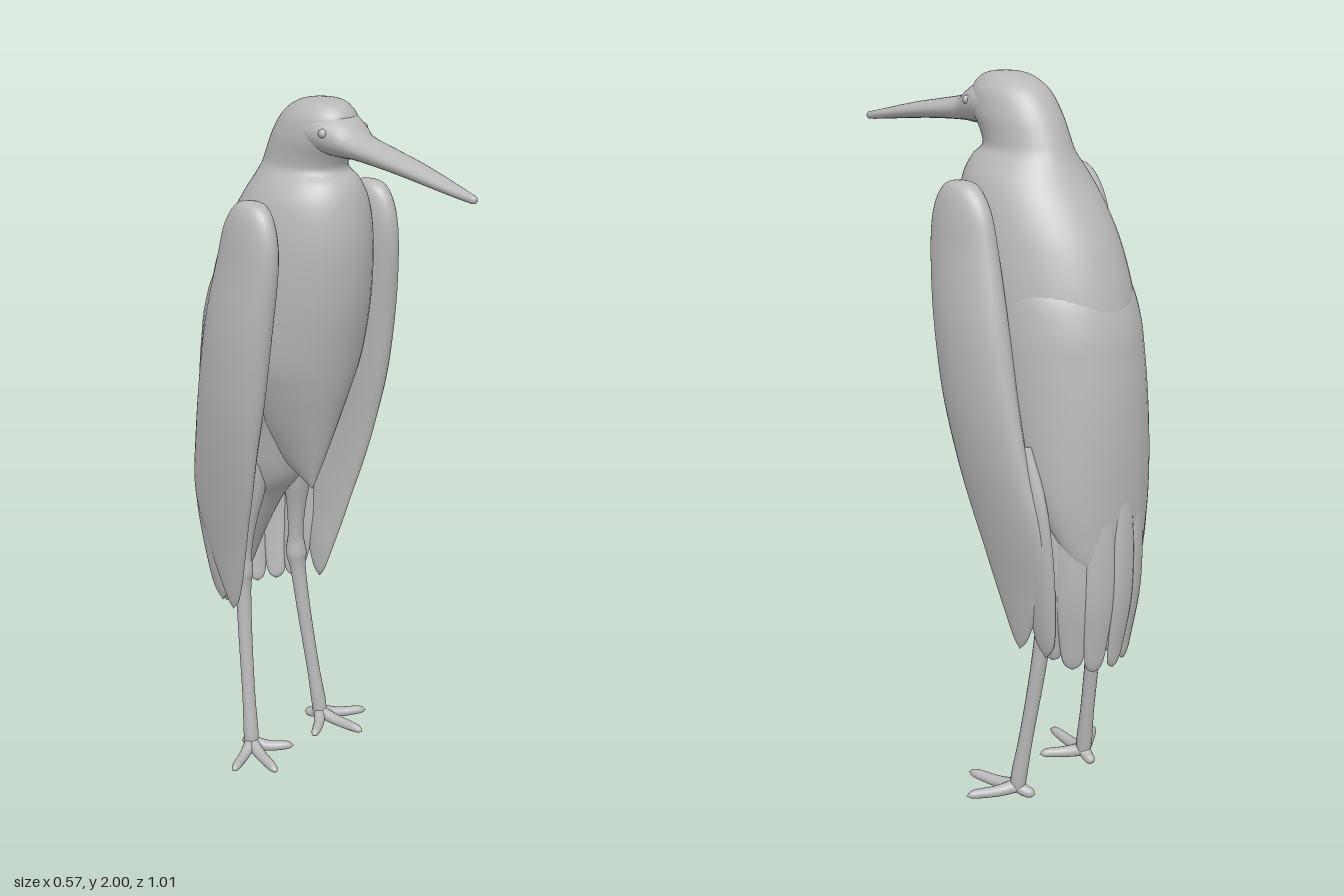
import * as THREE from 'three';

const grey = new THREE.MeshStandardMaterial({ color: 0xb8b8b8 });
grey.name = 'plain grey';

// Skin a grid of rings (seg points each) into a smooth closed surface
function skin(pos, rows, seg) {
  const index = [];
  for (let i = 0; i < rows - 1; i++) {
    for (let j = 0; j < seg; j++) {
      const k = (j + 1) % seg, p = i * seg, q = p + seg;
      index.push(p + j, p + k, q + j, p + k, q + k, q + j);
    }
  }
  const g = new THREE.BufferGeometry();
  g.setAttribute('position', new THREE.Float32BufferAttribute(pos, 3));
  g.setIndex(index);
  g.computeVertexNormals();
  return g;
}

const spline = pts => new THREE.CatmullRomCurve3(pts, false, 'catmullrom');

// Smooth loft through elliptical rings [t, a0, a1, b0, b1].
// Upright: t = y (falling), a = z range, b = x range. Along z: t = z (rising), a = y range.
function loft(rings, { alongZ = false, seg = 32, sub = 5 } = {}) {
  const mid = spline(rings.map(([t, a0, a1, b0, b1]) => new THREE.Vector3(t, (a0 + a1) / 2, (b0 + b1) / 2)));
  const rad = spline(rings.map(([, a0, a1, b0, b1]) => new THREE.Vector3(Math.abs(a1 - a0) / 2, Math.abs(b1 - b0) / 2, 0)));
  const pos = [], n = (rings.length - 1) * sub;
  for (let i = 0; i <= n; i++) {
    const c = mid.getPoint(i / n), r = rad.getPoint(i / n);
    for (let j = 0; j < seg; j++) {
      const th = (j / seg) * Math.PI * 2;
      const a = c.y + Math.max(r.x, 0.0002) * Math.sin(th);
      const b = c.z + Math.max(r.y, 0.0002) * Math.cos(th);
      if (alongZ) pos.push(b, a, c.x);
      else pos.push(b, c.x, a);
    }
  }
  return skin(pos, n + 1, seg);
}

// Tapered round limb through points [x, y, z, radius]
function limb(pts, side = 1) {
  const path = spline(pts.map(p => new THREE.Vector3(p[0] * side, p[1], p[2])));
  const size = spline(pts.map(p => new THREE.Vector3(p[3], 0, 0)));
  const n = (pts.length - 1) * 6, seg = 14, pos = [];
  const frames = path.computeFrenetFrames(n, false);
  for (let i = 0; i <= n; i++) {
    const c = path.getPoint(i / n), r = Math.max(size.getPoint(i / n).x, 0.0002);
    for (let j = 0; j < seg; j++) {
      const th = (j / seg) * Math.PI * 2;
      const v = c.clone()
        .addScaledVector(frames.normals[i], r * Math.cos(th))
        .addScaledVector(frames.binormals[i], r * Math.sin(th));
      pos.push(v.x, v.y, v.z);
    }
  }
  return skin(pos, n + 1, seg);
}

export function createModel() {
  const model = new THREE.Group();
  const add = (name, geometry, parent = model) => {
    const m = new THREE.Mesh(geometry, grey);
    m.name = name;
    parent.add(m);
    return m;
  };
  const sym = (y, front, back, w) => [y, back, front, -w, w];

  // Head, neck and breast, ending in a pointed breast plume
  add('headAndBreast', loft([
    sym(2.0, -0.05, -0.05, 0), sym(1.994, 0.0, -0.105, 0.042), sym(1.98, 0.03, -0.145, 0.064),
    sym(1.95, 0.05, -0.185, 0.085), sym(1.9, 0.045, -0.22, 0.096), sym(1.85, 0.015, -0.245, 0.097),
    sym(1.815, 0.005, -0.26, 0.102), sym(1.785, 0.035, -0.275, 0.125), sym(1.74, 0.055, -0.305, 0.152),
    sym(1.67, 0.068, -0.355, 0.172), sym(1.58, 0.07, -0.405, 0.186), sym(1.45, 0.057, -0.448, 0.197),
    sym(1.3, 0.025, -0.46, 0.195), sym(1.2, 0.0, -0.44, 0.163), sym(1.1, -0.03, -0.38, 0.118),
    sym(1.0, -0.06, -0.3, 0.066), sym(0.92, -0.09, -0.17, 0.022), sym(0.88, -0.107, -0.107, 0),
  ], { seg: 48 }));

  // Long tapering bill, flaring into the face
  add('bill', loft([
    [-0.1, 1.88, 1.96, -0.075, 0.075], [-0.04, 1.862, 1.98, -0.086, 0.086], [0.01, 1.857, 1.975, -0.08, 0.08],
    [0.055, 1.856, 1.955, -0.065, 0.065], [0.1, 1.857, 1.925, -0.052, 0.052],
    [0.2, 1.85, 1.903, -0.045, 0.045], [0.3, 1.839, 1.883, -0.037, 0.037], [0.4, 1.826, 1.859, -0.026, 0.026],
    [0.48, 1.816, 1.839, -0.013, 0.013], [0.5, 1.816, 1.834, -0.008, 0.008], [0.505, 1.825, 1.825, 0, 0],
  ], { alongZ: true, seg: 24 }));

  // Belly behind the breast plume
  add('belly', loft([
    sym(1.45, -0.05, -0.4, 0.15), sym(1.25, -0.07, -0.44, 0.175), sym(1.05, -0.14, -0.45, 0.15),
    sym(0.9, -0.19, -0.45, 0.115), sym(0.8, -0.27, -0.45, 0.08), sym(0.65, -0.36, -0.455, 0.055),
    sym(0.52, -0.42, -0.46, 0.03), sym(0.48, -0.445, -0.445, 0),
  ]));

  // Mantle flowing out of the back and narrowing to the tail
  add('mantle', loft([
    sym(1.62, -0.1, -0.32, 0.1), sym(1.5, -0.06, -0.42, 0.176), sym(1.4, -0.055, -0.463, 0.197),
    sym(1.3, -0.065, -0.48, 0.203), sym(1.2, -0.09, -0.491, 0.204), sym(1.08, -0.15, -0.496, 0.2),
    sym(0.96, -0.23, -0.495, 0.188), sym(0.85, -0.31, -0.492, 0.16), sym(0.76, -0.38, -0.488, 0.115),
    sym(0.69, -0.45, -0.46, 0.02),
  ], { seg: 48 }));

  // Tail and trailing feathers, fanned around the back: [angle, tip height, half width]
  const fan = [[0, 0.44, 0.038], [0.45, 0.44, 0.042], [0.85, 0.45, 0.045], [1.22, 0.47, 0.045]];
  const tail = new THREE.Group();
  tail.name = 'tailFeathers';
  model.add(tail);
  for (const [angle, tip, w] of fan) {
    for (const side of angle ? [1, -1] : [1]) {
      const top = 1.02, len = top - tip;
      const f = add('tailFeather', loft([
        [0, 0.01, 0.016, -w * 0.3, w * 0.3], [-len * 0.25, -0.012, 0.018, -w * 0.9, w * 0.9],
        [-len * 0.6, -0.014, 0.015, -w, w], [-len * 0.88, 0.008, 0.03, -w * 0.75, w * 0.75],
        [-len * 0.97, 0.018, 0.036, -w * 0.5, w * 0.5], [-len, 0.028, 0.028, 0, 0],
      ], { seg: 16 }), tail);
      f.position.set(side * 0.165 * Math.sin(angle), top, -0.305 - 0.184 * Math.cos(angle));
      f.rotation.y = -side * angle;
    }
  }

  // Folded wings: [y, front z, back z, inner x, outer x]
  const wing = [
    [1.752, -0.1, -0.1, 0.205, 0.205], [1.738, -0.045, -0.15, 0.175, 0.238], [1.68, -0.01, -0.195, 0.163, 0.256],
    [1.58, 0.0, -0.225, 0.16, 0.267], [1.4, -0.02, -0.27, 0.163, 0.285], [1.2, -0.05, -0.312, 0.172, 0.281],
    [1.03, -0.09, -0.35, 0.178, 0.263], [0.9, -0.125, -0.382, 0.175, 0.243], [0.8, -0.157, -0.387, 0.17, 0.226],
    [0.7, -0.187, -0.365, 0.165, 0.208], [0.6, -0.22, -0.335, 0.157, 0.192], [0.52, -0.25, -0.3, 0.157, 0.178],
    [0.487, -0.274, -0.274, 0.168, 0.168],
  ];
  // Flight feather tucked behind each wing
  const flight = [
    [1.1, -0.28, -0.34, 0.18, 0.22], [0.95, -0.28, -0.39, 0.172, 0.222], [0.8, -0.29, -0.405, 0.16, 0.21],
    [0.65, -0.3, -0.4, 0.146, 0.188], [0.53, -0.32, -0.385, 0.14, 0.165], [0.48, -0.352, -0.352, 0.148, 0.148],
  ];
  const ankle = [0.138, 0.03, -0.24, 0.02];
  const toes = [
    [ankle, [0.19, 0.02, -0.21, 0.016], [0.25, 0.02, -0.175, 0.012], [0.268, 0.017, -0.165, 0]],
    [ankle, [0.1, 0.02, -0.2, 0.016], [0.055, 0.02, -0.165, 0.012], [0.04, 0.017, -0.155, 0]],
    [ankle, [0.152, 0.02, -0.18, 0.017], [0.168, 0.019, -0.1, 0.013], [0.172, 0.016, -0.075, 0]],
    [ankle, [0.132, 0.019, -0.262, 0.017], [0.125, 0.016, -0.282, 0.013], [0.122, 0.014, -0.292, 0]],
  ];

  for (const side of [1, -1]) {
    const label = side > 0 ? 'left' : 'right';
    const mirror = ([y, f, b, i, o]) => [y, b, f, side * i, side * o];
    add(label + 'Wing', loft(wing.map(mirror)));
    add(label + 'FlightFeather', loft(flight.map(mirror), { seg: 20 }));

    // Feathered thigh, knee and shin
    add(label + 'Leg', limb([
      [0.085, 0.98, -0.27, 0.05], [0.088, 0.86, -0.28, 0.044], [0.095, 0.74, -0.295, 0.029], [0.1, 0.64, -0.305, 0.024],
      [0.104, 0.58, -0.308, 0.032], [0.107, 0.52, -0.303, 0.024], [0.117, 0.36, -0.285, 0.021],
      [0.129, 0.18, -0.26, 0.02], [0.137, 0.06, -0.243, 0.023], [0.138, 0.02, -0.24, 0.018], [0.138, 0.006, -0.24, 0],
    ], side));

    // Toes
    const foot = new THREE.Group();
    foot.name = label + 'Foot';
    model.add(foot);
    toes.forEach(t => add('toe', limb(t, side), foot));

    // Eye, set into the face
    const eye = add(label + 'Eye', new THREE.SphereGeometry(0.012, 16, 12));
    eye.position.set(side * 0.07, 1.924, 0.025);
  }
  return model;
}
